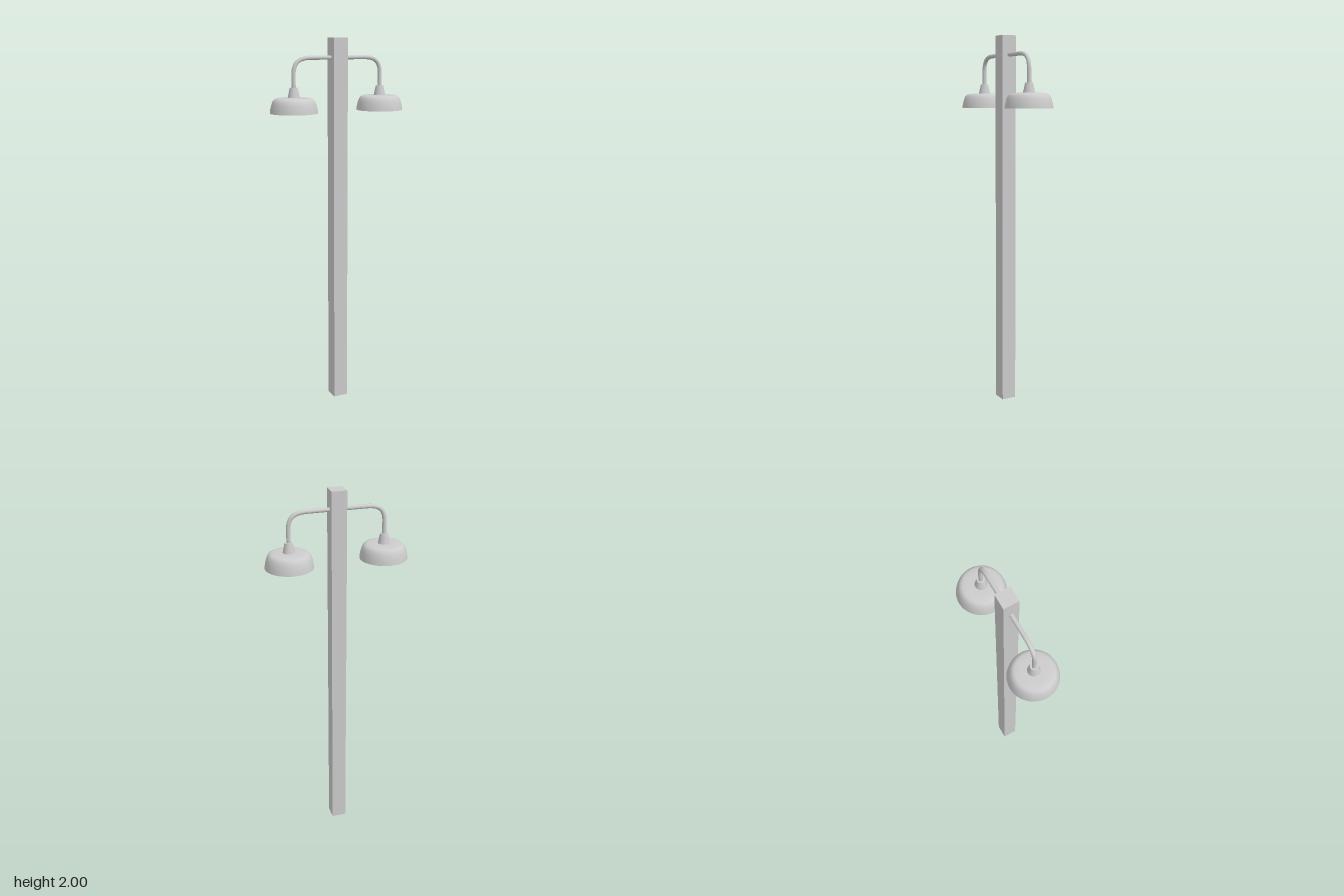
import * as THREE from 'three';

const grey = new THREE.MeshStandardMaterial({ color: 0xcccccc });
const greyThin = new THREE.MeshStandardMaterial({ color: 0xcccccc, side: THREE.DoubleSide });

function part(name, geometry, material = grey) {
  const mesh = new THREE.Mesh(geometry, material);
  mesh.name = name;
  return mesh;
}

// Lathe from [radius, height] pairs, listed bottom to top on outer faces
function lathe(pairs, segments = 48) {
  return new THREE.LatheGeometry(pairs.map(([r, y]) => new THREE.Vector2(r, y)), segments);
}

// Curved arm with a hanging lamp; side is +1 or -1
function createLamp(side) {
  const lamp = new THREE.Group();
  lamp.name = side > 0 ? 'leftLamp' : 'rightLamp';
  const lampX = side * 0.25;

  // Arm: straight out of the post, then a smooth bend down
  const p = (x, y) => new THREE.Vector3(side * x, y, 0);
  const path = new THREE.CurvePath();
  path.add(new THREE.LineCurve3(p(0.03, 1.9), p(0.15, 1.9)));
  path.add(new THREE.CubicBezierCurve3(p(0.15, 1.9), p(0.222, 1.9), p(0.25, 1.878), p(0.25, 1.81)));
  path.add(new THREE.LineCurve3(p(0.25, 1.81), p(0.25, 1.74)));
  lamp.add(part('arm', new THREE.TubeGeometry(path, 48, 0.011, 16)));

  // Open dome shade
  const shade = part('shade', lathe([
    [0.125, 1.62], [0.122, 1.642], [0.116, 1.665], [0.109, 1.682],
    [0.1, 1.692], [0.088, 1.697], [0.06, 1.699], [0, 1.7],
  ]), greyThin);

  // Tapered neck joining shade and arm
  const neck = part('neck', lathe([
    [0.032, 1.695], [0.03, 1.705], [0.022, 1.742], [0.02, 1.75], [0.02, 1.75], [0, 1.75],
  ], 32));

  // Bulb: socket, narrow waist and wider flat end
  const bulb = part('bulb', lathe([
    [0, 1.638], [0.024, 1.638], [0.024, 1.638], [0.027, 1.643], [0.025, 1.65],
    [0.016, 1.662], [0.015, 1.675], [0.02, 1.698],
  ], 32));

  for (const mesh of [shade, neck, bulb]) {
    mesh.position.x = lampX;
    lamp.add(mesh);
  }
  return lamp;
}

export function createModel() {
  const model = new THREE.Group();
  model.name = 'streetLamp';

  // Square post
  const post = part('post', new THREE.BoxGeometry(0.08, 2, 0.08));
  post.position.y = 1;
  model.add(post);

  // Mirrored pair of lamps
  for (const side of [1, -1]) model.add(createLamp(side));
  return model;
}
